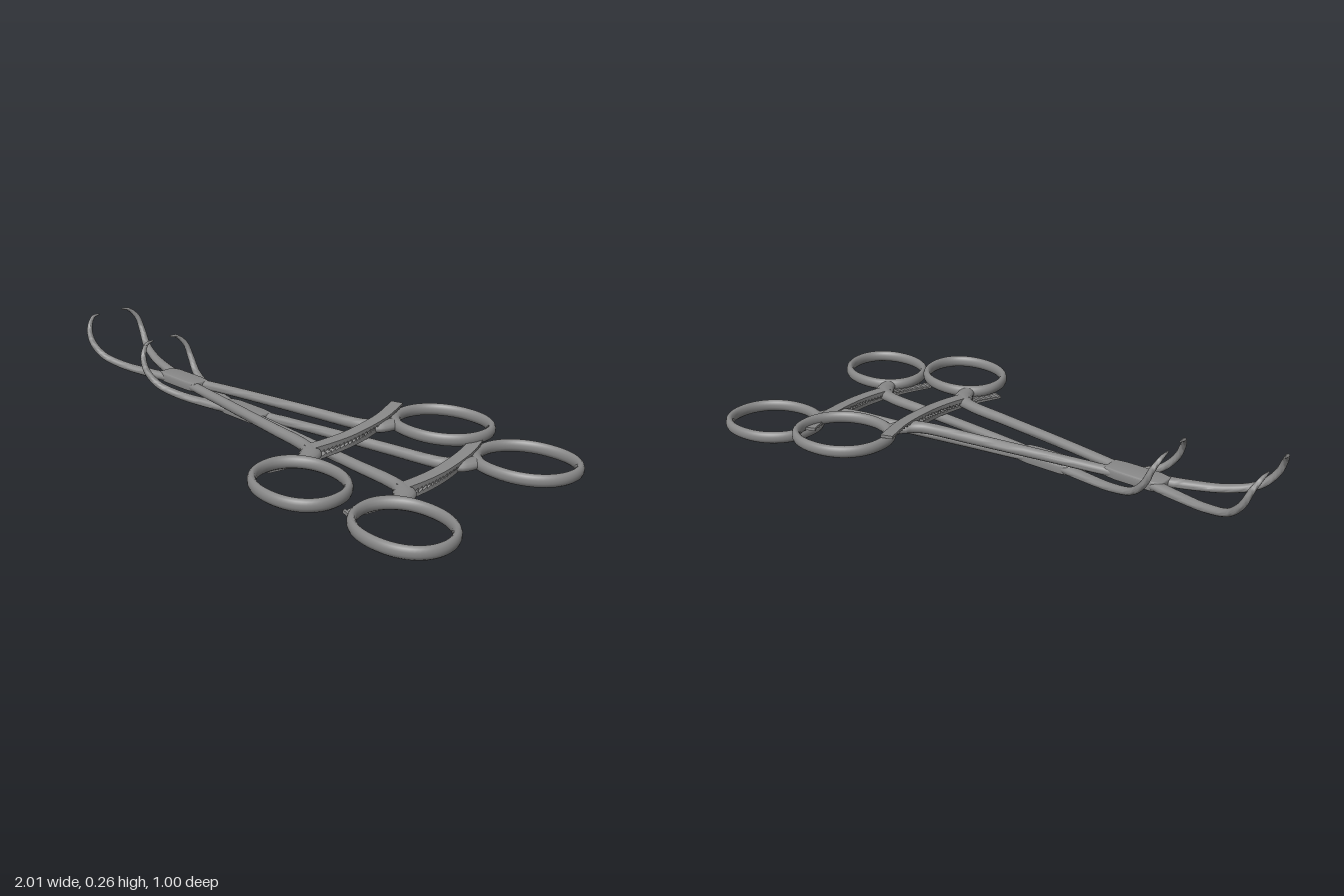
import * as THREE from 'three';
import { toCreasedNormals } from 'three/addons/utils/BufferGeometryUtils.js';

const V = (x, y, z) => new THREE.Vector3(x, y, z);
const UP = V(0, 1, 0);

// Skin a row of frames {p, t, w, h} with an n-sided section (4 = rectangle)
function sweep(frames, sides, closed = false, crease = 0.9) {
  const pos = [], index = [], n = frames.length;
  const grow = sides === 4 ? Math.SQRT2 : 1;
  for (const { p, t, w, h } of frames) {
    const a = t.clone().cross(UP).normalize();
    const b = t.clone().cross(a).normalize();
    for (let j = 0; j < sides; j++) {
      const q = (j + 0.5) / sides * Math.PI * 2;
      const c = p.clone().addScaledVector(a, Math.cos(q) * w * grow / 2)
        .addScaledVector(b, Math.sin(q) * h * grow / 2);
      pos.push(c.x, c.y, c.z);
    }
  }
  for (let i = 0; i < (closed ? n : n - 1); i++) {
    for (let j = 0; j < sides; j++) {
      const k = (j + 1) % sides, i2 = (i + 1) % n;
      const A = i * sides + j, B = i * sides + k, C = i2 * sides + j, D = i2 * sides + k;
      index.push(A, B, C, B, D, C);
    }
  }
  if (!closed) {
    const e = (n - 1) * sides;
    for (let j = 1; j < sides - 1; j++) index.push(0, j + 1, j, e, e + j, e + j + 1);
  }
  const g = new THREE.BufferGeometry();
  g.setAttribute('position', new THREE.Float32BufferAttribute(pos, 3));
  g.setIndex(index);
  return toCreasedNormals(g, crease);
}

// Jaw and shank, from hooked tip to finger ring: x, y, z, width, height
const ARM = [
  [-0.470, 0.255, -0.056, 0.006, 0.006],
  [-0.467, 0.249, -0.088, 0.014, 0.014],
  [-0.450, 0.214, -0.119, 0.021, 0.021],
  [-0.428, 0.163, -0.125, 0.026, 0.025],
  [-0.380, 0.113, -0.109, 0.030, 0.027],
  [-0.290, 0.085, -0.079, 0.036, 0.029],
  [-0.170, 0.075, -0.045, 0.042, 0.032],
  [-0.080, 0.073, -0.022, 0.046, 0.034],
  [0.050, 0.073, 0.013, 0.042, 0.034],
  [0.300, 0.075, 0.056, 0.038, 0.037],
  [0.600, 0.075, 0.102, 0.038, 0.040],
  [0.800, 0.075, 0.134, 0.044, 0.042],
  [0.858, 0.075, 0.168, 0.076, 0.042],
  [0.885, 0.075, 0.228, 0.056, 0.038],
];

function armGeometry(s) {
  const lift = x => -s * 0.004 * THREE.MathUtils.clamp(x / 0.8, 0, 1);
  const curve = new THREE.CatmullRomCurve3(ARM.map(([x, y, z]) => V(x, y + lift(x), z * s)));
  const frames = [], N = 78, last = ARM.length - 1;
  for (let i = 0; i <= N; i++) {
    const u = i / N, k = Math.min(Math.floor(u * last), last - 1), f = u * last - k;
    const mix = c => THREE.MathUtils.lerp(ARM[k][c], ARM[k + 1][c], f);
    frames.push({ p: curve.getPoint(u), t: curve.getTangent(u), w: mix(3), h: mix(4) });
  }
  return sweep(frames, 14);
}

// Rounded oval finger ring, thicker where the shank joins; the front one sits further out
function ringGeometry(s) {
  const N = 64, root = Math.PI * 1.22, centre = s > 0 ? 0.353 : 0.341;
  const at = q => {
    const c = Math.cos(q), d = Math.sin(q);
    const x = 0.165 * Math.sign(c) * Math.abs(c) ** 0.93;
    const z = 0.139 * Math.sign(d) * Math.abs(d) ** 0.93;
    return V(0.995 + x + 0.06 * z, 0.075 - s * 0.004, s * (centre + z + 0.04 * x));
  };
  const frames = [];
  for (let i = 0; i < N; i++) {
    const q = (i + 0.5) / N * Math.PI * 2;
    const near = Math.max(0, Math.cos(q - root)) ** 6;
    frames.push({
      p: at(q), t: at(q + 0.02).sub(at(q - 0.02)).normalize(),
      w: 0.029 + 0.016 * near, h: 0.044,
    });
  }
  return sweep(frames, 12, true);
}

// Curved locking bar with sawteeth on the face towards the other bar
function ratchetGeometry(s) {
  const curve = new THREE.CatmullRomCurve3([
    V(0.842, 0, s * 0.165), V(0.858, 0, s * 0.08), V(0.865, 0, 0),
    V(0.860, 0, -s * 0.10), V(0.845, 0, -s * 0.20), V(0.807, 0, -s * 0.319)]);
  const frames = [], teeth = 23;
  const add = (u, depth) => {
    const p = curve.getPoint(u);
    const face = 0.078 - 0.085 * p.z + s * depth;
    const outer = 0.078 - 0.085 * p.z + s * THREE.MathUtils.lerp(0.026, 0.011, u);
    p.y = (face + outer) / 2;
    const t = curve.getTangent(u);
    frames.push({ p, t, w: 0.044, h: Math.abs(outer - face) });
  };
  add(0, 0);
  for (let i = 0; i < teeth; i++) {
    const a = 0.08 + 0.9 * i / teeth, b = 0.08 + 0.9 * (i + 0.96) / teeth;
    add(a, 0);
    add(b, THREE.MathUtils.lerp(0.011, 0.005, a));
  }
  add(0.985, 0);
  add(1, 0);
  return sweep(frames, 4, false, 0.3);
}

// Box joint where the two arms cross
function jointGeometry() {
  const shape = new THREE.Shape([
    [-0.105, -0.026], [-0.07, -0.036], [0.06, -0.036], [0.10, -0.030],
    [0.10, 0.030], [0.06, 0.036], [-0.07, 0.036], [-0.105, 0.026],
  ].map(([x, y]) => new THREE.Vector2(x, y)));
  const g = new THREE.ExtrudeGeometry(shape, {
    depth: 0.024, bevelEnabled: true, bevelSize: 0.006, bevelThickness: 0.006, bevelSegments: 3,
  });
  return toCreasedNormals(g.rotateX(-Math.PI / 2).translate(0, 0.062, 0), 0.7);
}

export function createModel() {
  const steel = new THREE.MeshStandardMaterial({ color: 0x888888 });
  steel.name = 'steel grey';
  const mesh = (name, geometry) => {
    const m = new THREE.Mesh(geometry, steel);
    m.name = name;
    return m;
  };

  const half = (name, s) => {
    const g = new THREE.Group();
    g.name = name;
    g.add(mesh('jawAndShank', armGeometry(s)), mesh('fingerRing', ringGeometry(s)),
      mesh('ratchetBar', ratchetGeometry(s)));
    return g;
  };

  // One clamp; "closing" swings the front half about the joint
  const clamp = (name, x, y, closing) => {
    const g = new THREE.Group();
    g.name = name;
    const front = half('frontHalf', 1);
    front.rotation.y = closing;
    g.add(front, half('backHalf', -1), mesh('boxJoint', jointGeometry()));
    g.position.set(x, y, -0.028);
    g.rotation.y = -0.023;
    return g;
  };

  const model = new THREE.Group();
  model.name = 'clampPair';
  model.add(clamp('upperClamp', -0.53, 0, 0), clamp('lowerClamp', -0.185, -0.04, 0.055));
  return model;
}
